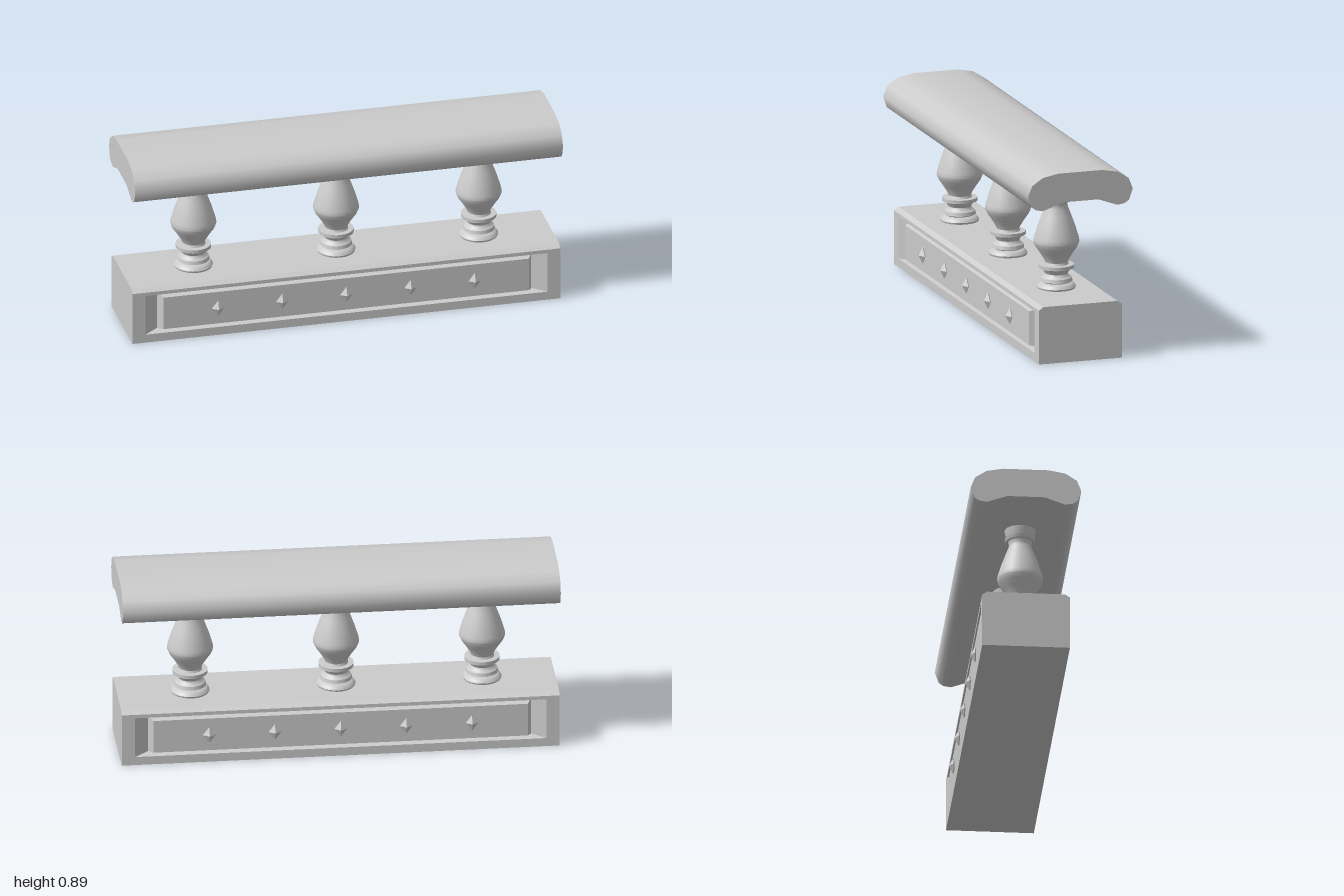
import * as THREE from 'three';
import { toCreasedNormals } from 'three/addons/utils/BufferGeometryUtils.js';

const grey = new THREE.MeshStandardMaterial({ color: 0xcccccc });

function add(parent, geometry, name) {
  const mesh = new THREE.Mesh(geometry, grey);
  mesh.name = name;
  parent.add(mesh);
  return mesh;
}

// Extrudes a symmetric cross-section, given as its [z, y] half from top to bottom, along x
function extrudeAlongX(half) {
  const mirrored = half.map(([z, y]) => [-z, y]).reverse();
  const points = [...half, ...mirrored].map(([z, y]) => new THREE.Vector2(z, y));
  const geometry = new THREE.ExtrudeGeometry(new THREE.Shape(points), { depth: 2, bevelEnabled: false });
  return geometry.translate(0, 0, -1).rotateY(Math.PI / 2);
}

// Removes the triangles that face straight to +z or -z
function openFrontAndBack(geometry) {
  const p = geometry.attributes.position, n = geometry.attributes.normal;
  const kept = [];
  for (let i = 0; i < p.count; i += 3) {
    if (Math.abs(n.getZ(i)) > 0.99) continue;
    for (let k = i; k < i + 3; k++) kept.push(p.getX(k), p.getY(k), p.getZ(k));
  }
  const result = new THREE.BufferGeometry();
  result.setAttribute('position', new THREE.Float32BufferAttribute(kept, 3));
  result.computeVertexNormals();
  return result;
}

// Joins nested rectangles [halfWidth, bottom, top, z] and closes the last one
function nestedPanel(rects) {
  const loops = rects.map(([w, b, t, z]) => [[-w, b, z], [w, b, z], [w, t, z], [-w, t, z]]);
  const out = [];
  const quad = (a, b, c, d) => out.push(...a, ...b, ...c, ...a, ...c, ...d);
  for (let i = 0; i + 1 < loops.length; i++) {
    for (let k = 0; k < 4; k++) {
      const m = (k + 1) % 4;
      quad(loops[i][k], loops[i][m], loops[i + 1][m], loops[i + 1][k]);
    }
  }
  quad(...loops[loops.length - 1]);
  const geometry = new THREE.BufferGeometry();
  geometry.setAttribute('position', new THREE.Float32BufferAttribute(out, 3));
  geometry.computeVertexNormals();
  return geometry;
}

export function createModel() {
  const model = new THREE.Group();
  model.name = 'balustrade';

  // Plinth with chamfered top edges
  const plinth = new THREE.Group();
  plinth.name = 'plinth';
  model.add(plinth);
  add(plinth, openFrontAndBack(extrudeAlongX([[0.178, 0.267], [0.2, 0.252], [0.2, 0]])), 'plinthBody');

  // Framed raised panel with diamond studs, on the front and the back
  const panelGeometry = nestedPanel([
    [1, 0, 0.252, 0.2],
    [0.94, 0.04, 0.235, 0.2],
    [0.875, 0.046, 0.229, 0.155],
    [0.855, 0.056, 0.215, 0.196],
  ]);
  const studGeometry = new THREE.OctahedronGeometry(1).scale(0.03, 0.039, 0.02);
  for (const [side, angle] of [['front', 0], ['back', Math.PI]]) {
    const face = new THREE.Group();
    face.name = side + 'Face';
    face.rotation.y = angle;
    plinth.add(face);
    add(face, panelGeometry, 'panel');
    for (let i = -2; i <= 2; i++) {
      add(face, studGeometry, 'stud').position.set(i * 0.3, 0.135, 0.201);
    }
  }

  // Turned balusters
  const profile = [
    [0, 0.266], [0.086, 0.266], [0.089, 0.275], [0.083, 0.285], [0.074, 0.292], [0.062, 0.295],
    [0.074, 0.301], [0.07, 0.317], [0.056, 0.326], [0.052, 0.336], [0.06, 0.35], [0.068, 0.362],
    [0.081, 0.362], [0.081, 0.378], [0.056, 0.379], [0.052, 0.389], [0.057, 0.402],
    [0.076, 0.433], [0.095, 0.46], [0.104, 0.48], [0.105, 0.488], [0.102, 0.505],
    [0.085, 0.56], [0.066, 0.612], [0.053, 0.645], [0.05, 0.66], [0.055, 0.674],
    [0.065, 0.675], [0.07, 0.689], [0.064, 0.691], [0.066, 0.698], [0.071, 0.73], [0, 0.73],
  ].map(([r, y]) => new THREE.Vector2(r, y));
  const balusterGeometry = toCreasedNormals(new THREE.LatheGeometry(profile, 24), 0.7);
  for (let i = -1; i <= 1; i++) {
    add(model, balusterGeometry, 'baluster').position.x = i * 0.667;
  }

  // Rounded handrail, hollowed underneath
  const rail = extrudeAlongX([
    [0.105, 0.886], [0.18, 0.872], [0.232, 0.838], [0.252, 0.788],
    [0.234, 0.737], [0.212, 0.722], [0.178, 0.717], [0.085, 0.75],
  ]);
  add(model, toCreasedNormals(rail, 0.9), 'handrail');

  return model;
}
